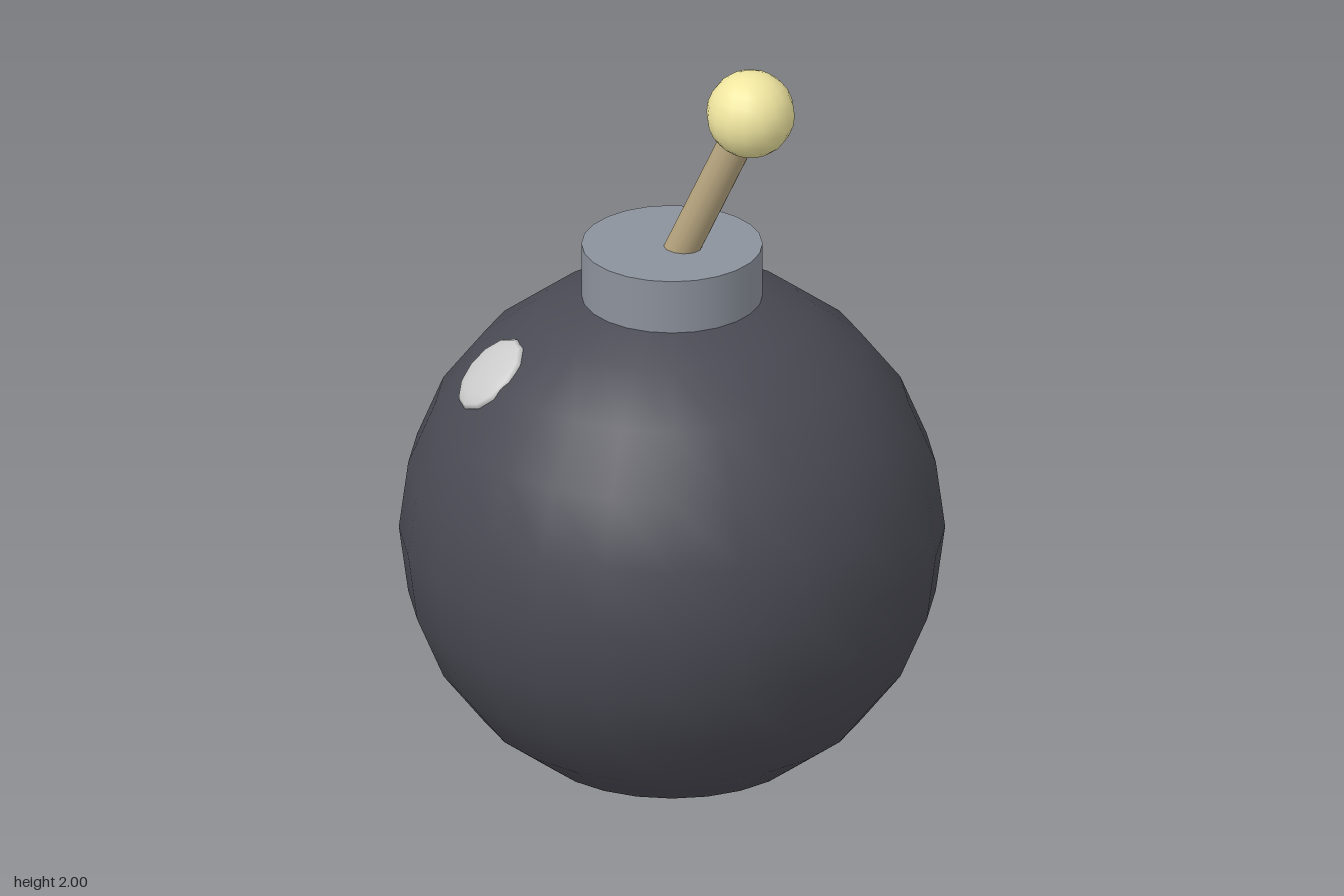
import * as THREE from 'three';

const UP = new THREE.Vector3(0, 1, 0);

export function createModel() {
  const model = new THREE.Group();
  model.name = 'bomb';

  const add = (name, geometry, color, position) => {
    const mesh = new THREE.Mesh(geometry, new THREE.MeshStandardMaterial({ color }));
    mesh.name = name;
    mesh.position.copy(position);
    model.add(mesh);
    return mesh;
  };

  // Round body and the collar on top
  const radius = 0.687;
  const centre = new THREE.Vector3(0, 0.69, 0);
  add('body', new THREE.SphereGeometry(radius, 24, 12), 0x4a4a54, centre);
  add('collar', new THREE.CylinderGeometry(0.228, 0.228, 0.15, 24), 0x8c929c, new THREE.Vector3(0, 1.4, 0));

  // Leaning fuse, from inside the collar to the middle of the tip
  const foot = new THREE.Vector3(0.015, 1.44, 0);
  const tip = new THREE.Vector3(0.228, 1.888, 0);
  const along = tip.clone().sub(foot);
  const fuse = add('fuse', new THREE.CylinderGeometry(0.045, 0.045, along.length(), 12), 0xb8a680,
    foot.clone().add(tip).multiplyScalar(0.5));
  fuse.quaternion.setFromUnitVectors(UP, along.normalize());

  // Ball at the end of the fuse
  add('fuseTip', new THREE.SphereGeometry(0.112, 16, 12), 0xf0e6a0, tip);

  // Shiny spot: a flattened ball just breaking the body's surface
  const outward = new THREE.Vector3(-0.335, 0.482, 0.335).normalize();
  const spot = add('highlight', new THREE.SphereGeometry(0.11, 12, 8), 0xcccccc,
    centre.clone().addScaledVector(outward, 0.672));
  spot.quaternion.setFromUnitVectors(UP, outward);
  spot.scale.y = 0.23;

  return model;
}
